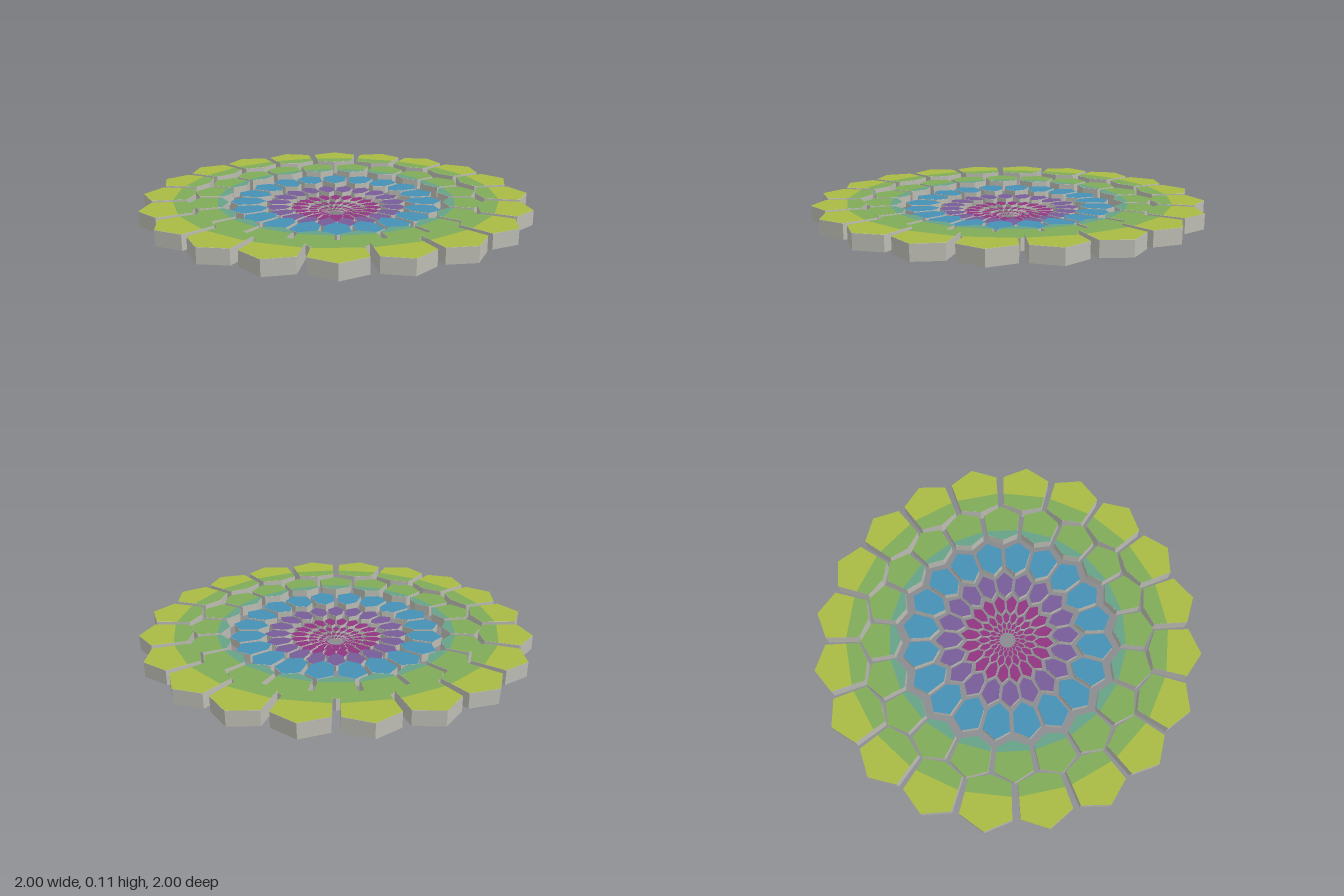
import * as THREE from 'three';

const flat = (name, color) => {
  const m = new THREE.MeshStandardMaterial({ color });
  m.name = name;
  return m;
};

// Each ring: radii of outer tip, shoulders, lower corners and inner tip,
// half angles of shoulders and lower corners in degrees, underside height,
// cap colours from outside in, and the radius where the colour changes.
const RINGS = [
  { r: [1.0, 0.939, 0.765, 0.73], a: [7.8, 7.8], base: 0.035, caps: ['lime', 'green'], cut: 0.825 },
  { r: [0.762, 0.713, 0.592, 0.553], a: [7.8, 7.8], base: 0.033, caps: ['green', 'teal'], cut: 0.61 },
  { r: [0.55, 0.508, 0.408, 0.362], a: [7.8, 7.5], base: 0.028, caps: ['blue'] },
  { r: [0.375, 0.335, 0.268, 0.234], a: [7.8, 7.2], base: 0.022, caps: ['purple'] },
  { r: [0.245, 0.214, 0.167, 0.142], a: [7.6, 6.8], base: 0.015, caps: ['magenta'] },
  { r: [0.155, 0.134, 0.106, 0.09], a: [7.2, 6.5], base: 0.01, caps: ['magenta'] },
  { r: [0.1, 0.086, 0.069, 0.058], a: [7, 6.3], base: 0.005, caps: ['magenta'] },
  { r: [0.065, 0.056, 0.046, 0.039], a: [6.8, 6], base: 0, caps: ['magenta'] },
];
const CELLS = 20;
const STEP = (Math.PI * 2) / CELLS;

// Symmetric outline from the points of its right half, listed outside in
function outline(half) {
  const mirrored = half.filter((p) => p.x > 1e-6).reverse().map((p) => new THREE.Vector2(-p.x, p.y));
  return new THREE.Shape([...half, ...mirrored]);
}

function polar(radius, degrees) {
  const t = THREE.MathUtils.degToRad(degrees);
  return new THREE.Vector2(radius * Math.sin(t), radius * Math.cos(t));
}

export function createModel() {
  const model = new THREE.Group();
  model.name = 'hexagonMandala';
  const grey = flat('stoneGrey', 0xbcbcb4);
  const paint = {
    lime: flat('limeYellow', 0xaabb44),
    green: flat('leafGreen', 0x7fab58),
    teal: flat('seaTeal', 0x66a188),
    blue: flat('skyBlue', 0x4590b4),
    purple: flat('dustyPurple', 0x775c98),
    magenta: flat('deepMagenta', 0x8f3580),
  };

  RINGS.forEach((ring, i) => {
    const group = new THREE.Group();
    group.name = `ring${i + 1}`;
    const tip = polar(ring.r[0], 0);
    const shoulder = polar(ring.r[1], ring.a[0]);
    const lower = polar(ring.r[2], ring.a[1]);
    const inner = polar(ring.r[3], 0);

    // Grey hexagonal block, thinner toward the centre
    const depth = 0.075 * ring.r[0];
    const block = new THREE.ExtrudeGeometry(outline([tip, shoulder, lower, inner]), { depth, bevelEnabled: false });
    block.rotateX(-Math.PI / 2).translate(0, ring.base, 0);

    // Coloured top faces, split across the cell where the colour changes
    let halves = [[tip, shoulder, lower, inner]];
    if (ring.cut) {
      const t = (shoulder.y - ring.cut) / (shoulder.y - lower.y);
      const edge = shoulder.clone().lerp(lower, t);
      halves = [[tip, shoulder, edge], [edge, lower, inner]];
    }
    const caps = halves.map((half) =>
      new THREE.ShapeGeometry(outline(half)).rotateX(-Math.PI / 2).translate(0, ring.base + depth + 0.001, 0));

    // Repeat around the ring; every other ring is turned by half a cell
    for (let k = 0; k < CELLS; k++) {
      const cell = new THREE.Group();
      cell.name = 'cell';
      const body = new THREE.Mesh(block, grey);
      body.name = 'cellBody';
      cell.add(body);
      caps.forEach((geometry, c) => {
        const cap = new THREE.Mesh(geometry, paint[ring.caps[c]]);
        cap.name = 'cellTop';
        cell.add(cap);
      });
      cell.rotation.y = (k + (i % 2) / 2) * STEP;
      group.add(cell);
    }
    model.add(group);
  });
  return model;
}
